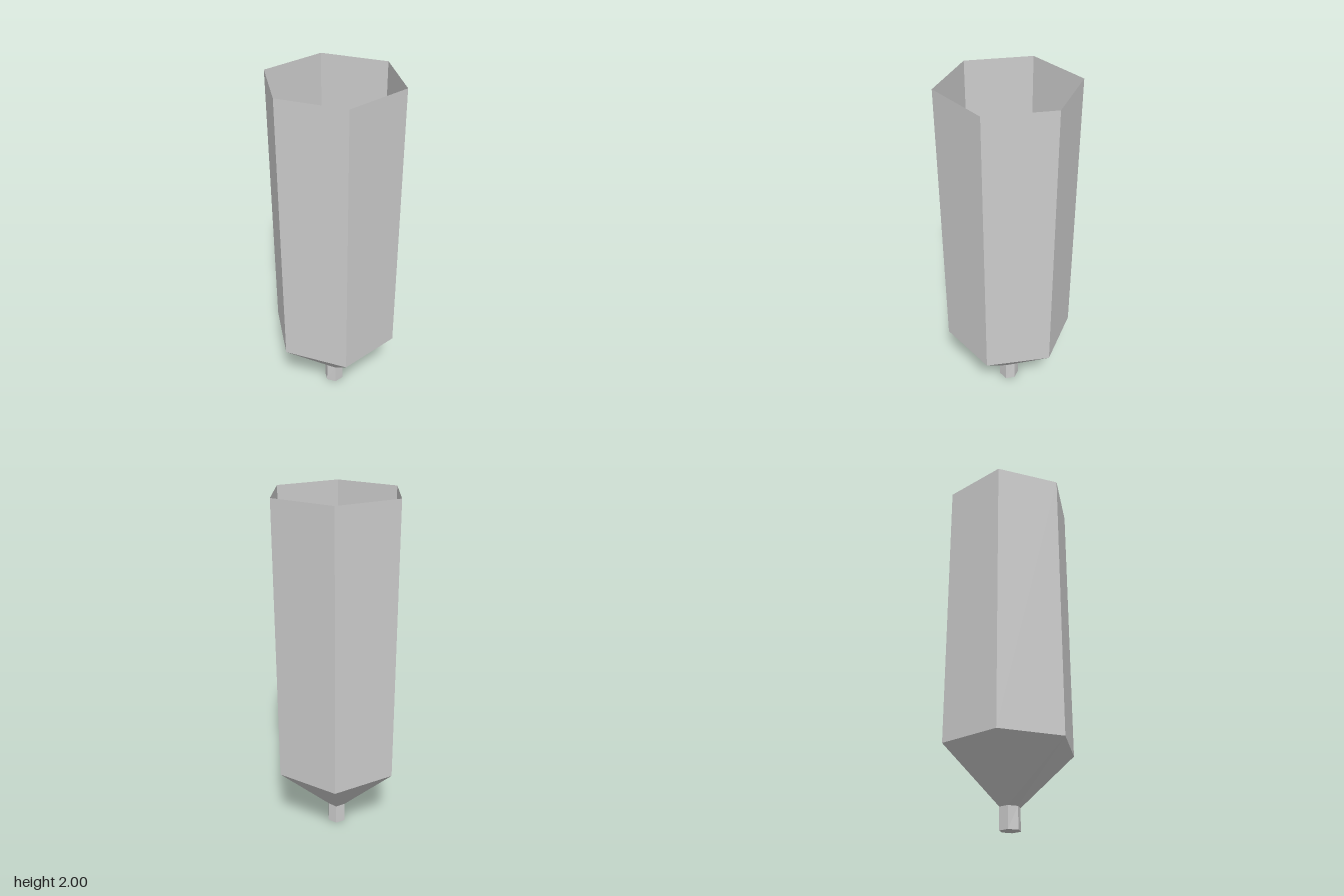
import * as THREE from 'three';

const material = new THREE.MeshStandardMaterial({
  color: 0xcccccc, flatShading: true, side: THREE.DoubleSide,
});

// Hexagonal cross-sections as [x, z] corners, running from front towards +x
const WIDE = [[0, 0.366], [0.322, 0.183], [0.318, -0.188], [0, -0.368], [-0.322, -0.185], [-0.318, 0.187]];
const NECK = [[0, 0.052], [0.05, 0.028], [0.05, -0.03], [0, -0.053], [-0.05, -0.03], [-0.05, 0.028]];
const TIP = [[0, 0.057], [0.05, 0.029], [0.05, -0.03], [0, -0.056], [-0.05, -0.03], [-0.05, 0.029]];

function meshFrom(name, points, index) {
  const geometry = new THREE.BufferGeometry();
  geometry.setAttribute('position', new THREE.Float32BufferAttribute(points, 3));
  geometry.setIndex(index);
  const flat = geometry.toNonIndexed();
  flat.computeVertexNormals();
  const mesh = new THREE.Mesh(flat, material);
  mesh.name = name;
  return mesh;
}

const ring = (section, y) => section.flatMap(([x, z]) => [x, y, z]);

// Open thin wall between two cross-sections
function wall(name, lower, y0, upper, y1) {
  const n = lower.length, index = [];
  for (let i = 0; i < n; i++) {
    const j = (i + 1) % n;
    index.push(i, j, n + j, i, n + j, n + i);
  }
  return meshFrom(name, [...ring(lower, y0), ...ring(upper, y1)], index);
}

// Flat cap facing down
function cap(name, section, y) {
  const index = [];
  for (let i = 1; i < section.length - 1; i++) index.push(0, i + 1, i);
  return meshFrom(name, ring(section, y), index);
}

export function createModel() {
  const model = new THREE.Group();
  model.name = 'hexagonalHopper';
  model.add(
    wall('body', WIDE, 0.425, WIDE, 2), // tall shell, open at the top
    wall('funnel', NECK, 0.12, WIDE, 0.425),
    wall('spout', TIP, 0, NECK, 0.12),
    cap('spoutEnd', TIP, 0),
  );
  return model;
}
